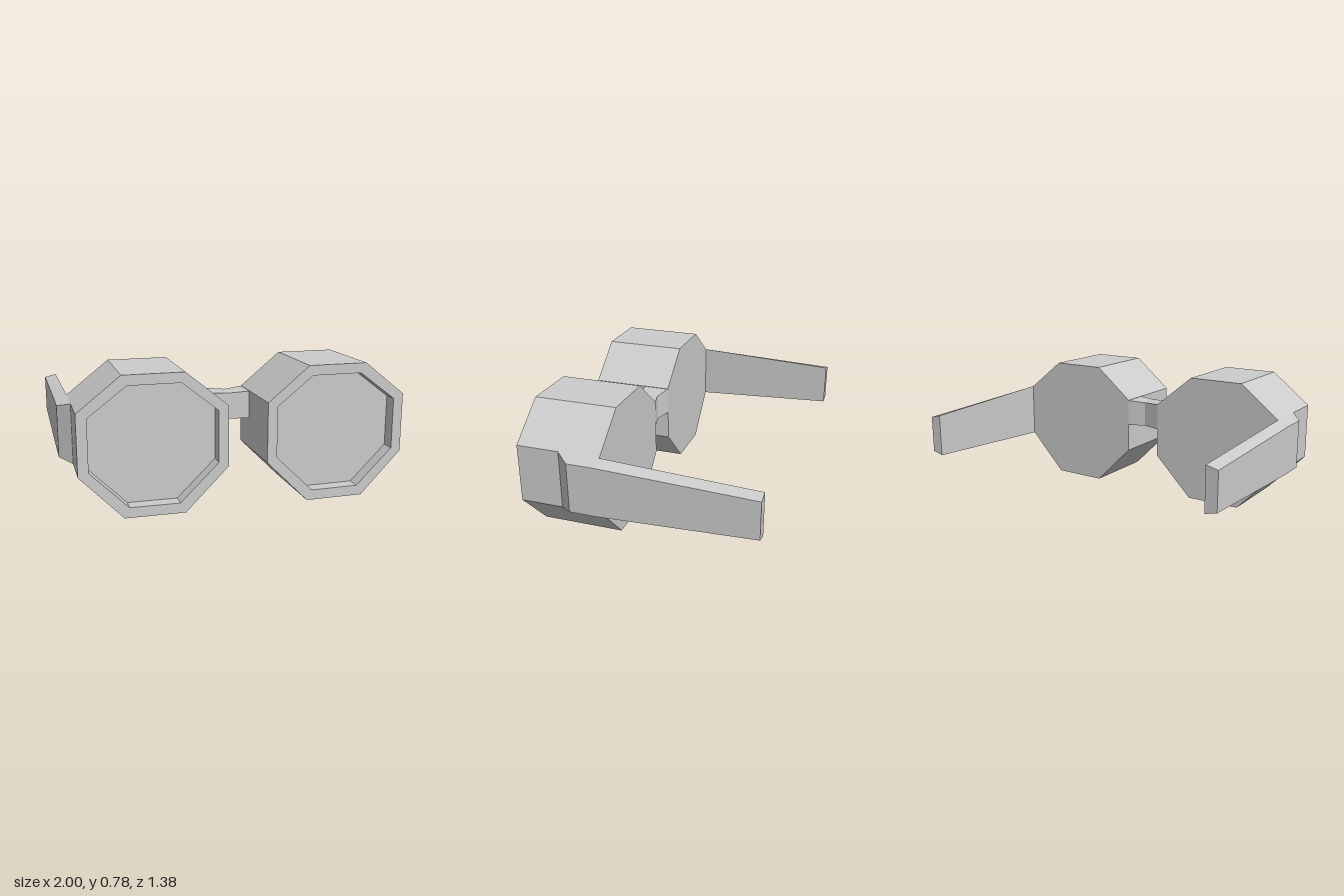
import * as THREE from 'three';

const material = new THREE.MeshStandardMaterial({ color: 0xcccccc, flatShading: true });

// Joins rings of points (counter-clockwise seen from the last ring) and caps both ends.
// side = -1 mirrors the part across x = 0.
function loft(name, rings, side = 1) {
  const positions = [];
  const tri = (a, b, c) => {
    if (new THREE.Triangle(a, b, c).getArea() < 1e-7) return;
    for (const p of side > 0 ? [a, b, c] : [a, c, b]) positions.push(p.x * side, p.y, p.z);
  };
  const n = rings[0].length;
  for (let i = 0; i < rings.length - 1; i++) {
    for (let j = 0; j < n; j++) {
      const k = (j + 1) % n;
      const [r, s] = [rings[i], rings[i + 1]];
      tri(r[j], r[k], s[k]);
      tri(r[j], s[k], s[j]);
    }
  }
  const first = rings[0], last = rings[rings.length - 1];
  for (let j = 1; j < n - 1; j++) {
    tri(first[0], first[j + 1], first[j]);
    tri(last[0], last[j], last[j + 1]);
  }
  const geometry = new THREE.BufferGeometry();
  geometry.setAttribute('position', new THREE.Float32BufferAttribute(positions, 3));
  geometry.computeVertexNormals();
  const mesh = new THREE.Mesh(geometry, material);
  mesh.name = name;
  return mesh;
}

const ringAtZ = (points, z) => points.map(([x, y]) => new THREE.Vector3(x, y, z));

// Octagonal barrel with a raised rim around a recessed lens
function lensBarrel(name, side) {
  const outer = [[0.69, 0.78], [0.35, 0.78], [0.112, 0.585], [0.112, 0.243],
    [0.355, 0], [0.692, 0.002], [0.93, 0.25], [0.93, 0.59]];
  const inner = [[0.66, 0.723], [0.372, 0.723], [0.168, 0.56], [0.168, 0.27],
    [0.385, 0.058], [0.663, 0.06], [0.873, 0.27], [0.873, 0.563]];
  return loft(name, [ringAtZ(outer, 0.2), ringAtZ(outer, 0.69),
    ringAtZ(inner, 0.69), ringAtZ(inner, 0.61)], side);
}

// Tapering side arm, its outer edges bevelled and its front end sloping into the barrel
function templeArm(name, side) {
  const section = (z, outerX, outerLow, outerHigh, innerLow, innerHigh) => ringAtZ(
    [[outerX, outerLow], [outerX, outerHigh], [0.93, innerHigh], [0.93, innerLow]], z);
  return loft(name, [
    section(-0.69, 1, 0.31, 0.53, 0.292, 0.547),
    section(0.2, 1, 0.274, 0.565, 0.25, 0.59),
    section(0.36, 1, 0.274, 0.565, 0.25, 0.59),
    section(0.44, 0.93, 0.25, 0.59, 0.25, 0.59),
  ], side);
}

// Nose bridge, pinched in the middle
function noseBridge() {
  const section = (x, low, high, back, front) => [[low, back], [high, back], [high, front], [low, front]]
    .map(([y, z]) => new THREE.Vector3(x, y, z));
  return loft('noseBridge', [
    section(-0.112, 0.42, 0.583, 0.2, 0.358),
    section(0, 0.422, 0.576, 0.228, 0.347),
    section(0.112, 0.42, 0.583, 0.2, 0.358),
  ]);
}

export function createModel() {
  const model = new THREE.Group();
  model.name = 'goggles';
  for (const [label, side] of [['left', 1], ['right', -1]]) {
    model.add(lensBarrel(label + 'LensBarrel', side), templeArm(label + 'TempleArm', side));
  }
  model.add(noseBridge());
  return model;
}
